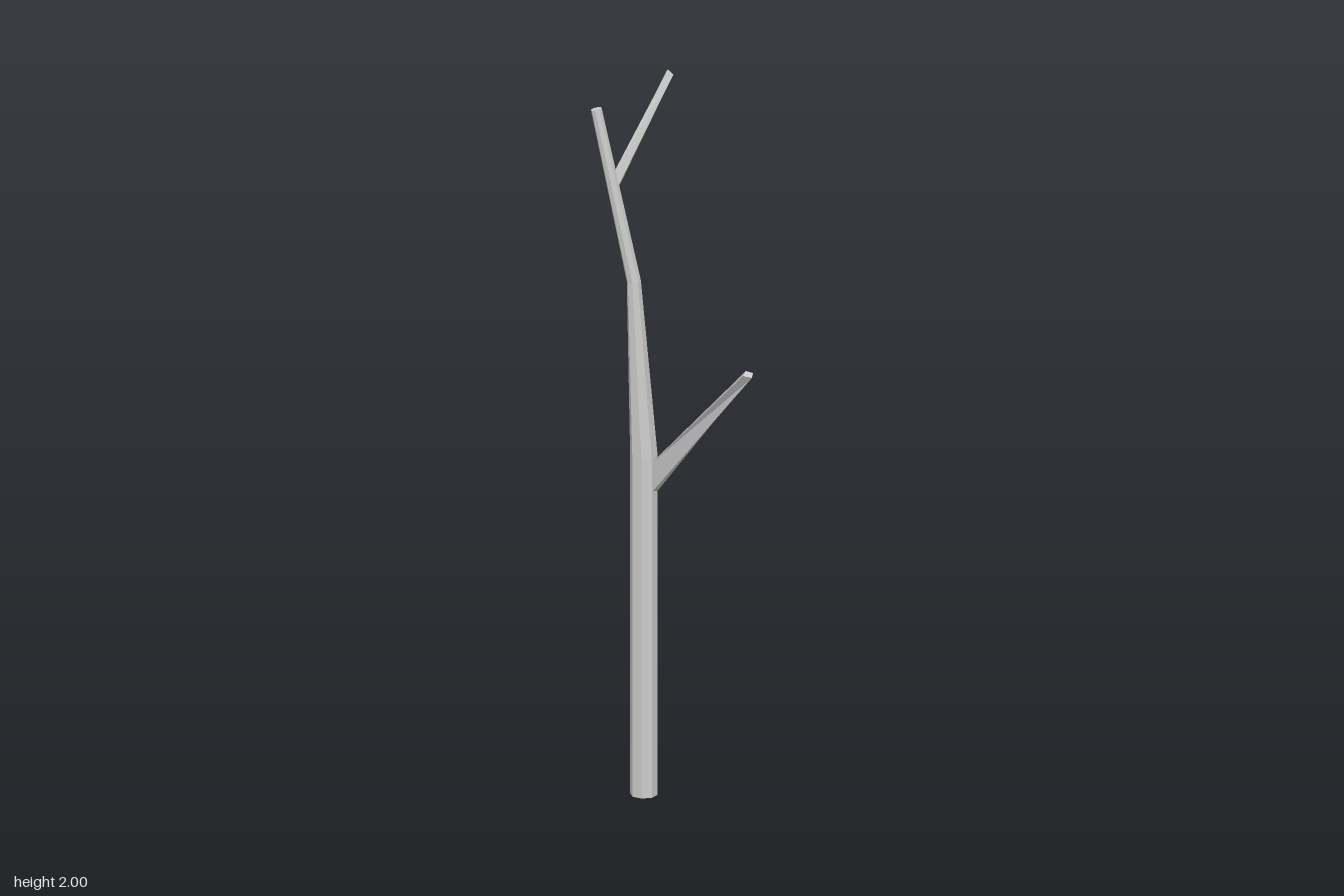
import * as THREE from 'three';

const material = new THREE.MeshStandardMaterial({ color: 0xcccccc, flatShading: true });

// Closed loft through rings of points (each counter-clockwise seen from its tip end)
function loft(name, rings) {
  const positions = [];
  const tri = (a, b, c) => positions.push(...a, ...b, ...c);
  const n = rings[0].length;
  for (let i = 0; i < rings.length - 1; i++) {
    for (let j = 0; j < n; j++) {
      const k = (j + 1) % n;
      const [a, b, c, d] = [rings[i][j], rings[i][k], rings[i + 1][k], rings[i + 1][j]];
      tri(a, b, c);
      tri(a, c, d);
    }
  }
  const bottom = rings[0], top = rings[rings.length - 1];
  for (let j = 1; j < n - 1; j++) {
    tri(bottom[0], bottom[j + 1], bottom[j]);
    tri(top[0], top[j], top[j + 1]);
  }
  const geometry = new THREE.BufferGeometry();
  geometry.setAttribute('position', new THREE.Float32BufferAttribute(positions, 3));
  geometry.computeVertexNormals();
  const mesh = new THREE.Mesh(geometry, material);
  mesh.name = name;
  return mesh;
}

// Eight-sided trunk ring; tilt raises its +x side
function trunkRing(x, y, radius, tilt = 0) {
  return Array.from({ length: 8 }, (_, i) => {
    const a = (i * Math.PI) / 4;
    const dx = radius * Math.cos(a);
    return [x + dx, y + dx * tilt, -0.081 - radius * Math.sin(a)];
  });
}

export function createModel() {
  const model = new THREE.Group();
  model.name = 'bareTree';

  // Straight lower trunk, tapering and bending towards the crown
  model.add(loft('trunk', [
    trunkRing(-0.1, 0, 0.037),
    trunkRing(-0.1, 0.95, 0.037),
    trunkRing(-0.127, 1.435, 0.019, 0.13),
    trunkRing(-0.228, 1.91, 0.0145, 0.21),
  ]));

  // Long four-sided branch, deep at the trunk and slim at the tip
  model.add(loft('lowerBranch', [
    [[-0.068, 0.94, -0.084], [-0.074, 0.935, -0.062], [-0.07, 0.86, -0.056], [-0.064, 0.85, -0.08]],
    [[0.222, 1.292, 0.17], [0.215, 1.28, 0.178], [0.239, 1.276, 0.178], [0.241, 1.287, 0.17]],
  ]));

  // Short four-sided twig near the top
  model.add(loft('upperBranch', [
    [[-0.179, 1.73, -0.095], [-0.176, 1.745, -0.083], [-0.168, 1.70, -0.079], [-0.17, 1.69, -0.092]],
    [[-0.057, 1.995, -0.18], [-0.053, 2.0, -0.174], [-0.038, 1.987, -0.174], [-0.041, 1.983, -0.18]],
  ]));

  return model;
}
